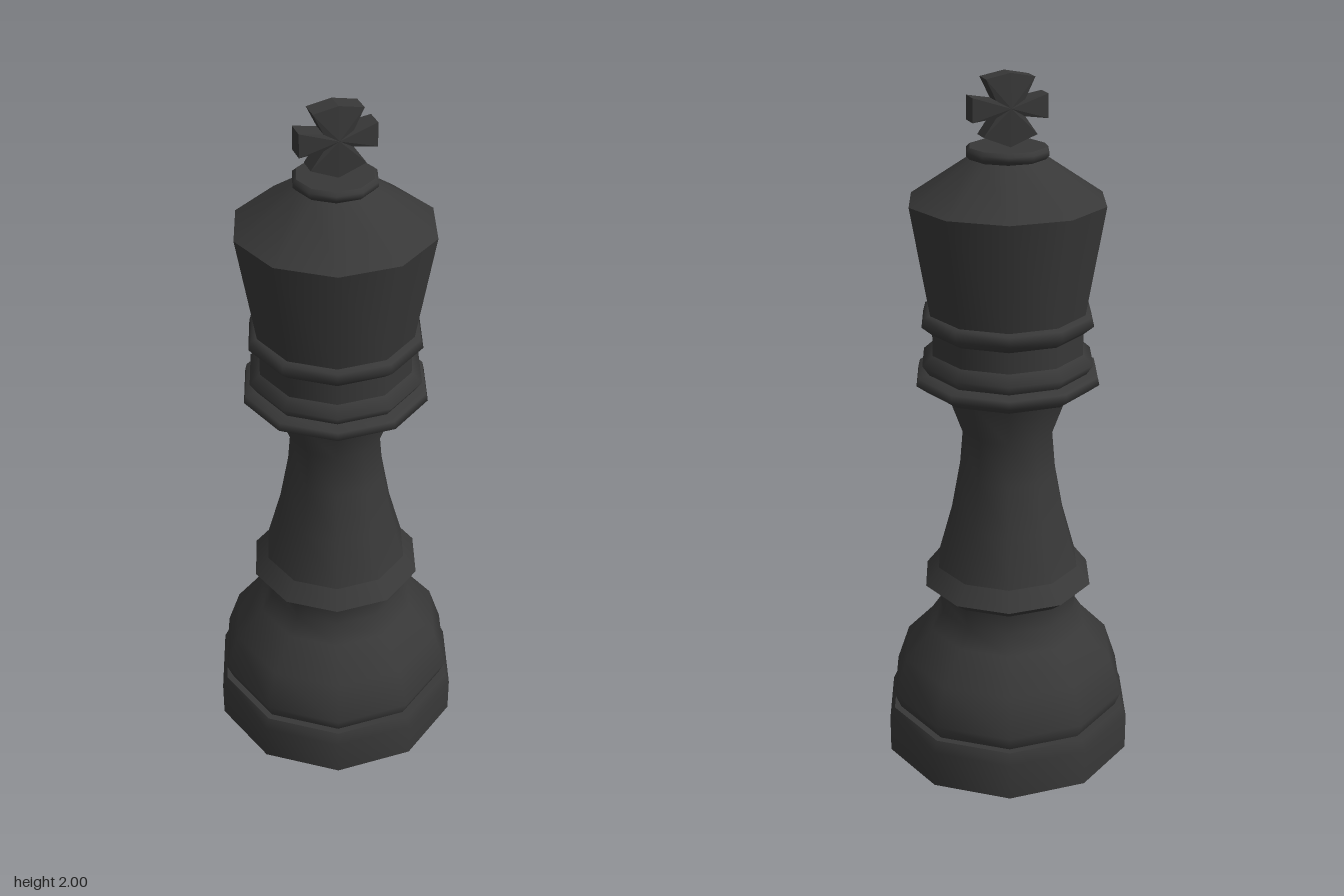
import * as THREE from 'three';

const SIDES = 10;

// Lathe piece with a corner on the x axis, smooth inside each profile run
function turned(name, material, ...runs) {
  const group = new THREE.Group();
  group.name = name;
  runs.forEach((run, i) => {
    const points = run.map(([r, y]) => new THREE.Vector2(r, y));
    const mesh = new THREE.Mesh(new THREE.LatheGeometry(points, SIDES, Math.PI / 2), material);
    mesh.name = `${name}Surface${i + 1}`;
    group.add(mesh);
  });
  return group;
}

// Flared cross, slightly thicker at its centre
function crossGeometry() {
  const cy = 1.908, edge = 0.027, middle = 0.033;
  const right = [
    [0, 1.806], [0.075, 1.836], [0.04, 1.885], [0.105, 1.876],
    [0.105, 1.941], [0.04, 1.93], [0.068, 1.987], [0, 2],
  ];
  const left = right.slice(1, -1).reverse().map(([x, y]) => [-x, y]);
  const outline = [...right, ...left];
  const pos = [];
  outline.forEach(([ax, ay], i) => {
    const [bx, by] = outline[(i + 1) % outline.length];
    pos.push(0, cy, middle, ax, ay, edge, bx, by, edge);
    pos.push(0, cy, -middle, bx, by, -edge, ax, ay, -edge);
    pos.push(ax, ay, edge, ax, ay, -edge, bx, by, -edge);
    pos.push(ax, ay, edge, bx, by, -edge, bx, by, edge);
  });
  const geometry = new THREE.BufferGeometry();
  geometry.setAttribute('position', new THREE.Float32BufferAttribute(pos, 3));
  geometry.computeVertexNormals();
  return geometry;
}

export function createModel() {
  const model = new THREE.Group();
  model.name = 'chessKing';
  const black = new THREE.MeshStandardMaterial({ color: 0x383838 });
  black.name = 'black';

  model.add(
    turned('base', black,
      [[0, 0], [0.37, 0]],
      [[0.37, 0], [0.37, 0.11], [0.355, 0.143]],
      [[0.355, 0.143], [0.335, 0.143]]),
    turned('foot', black,
      [[0.335, 0.143], [0.353, 0.187], [0.315, 0.3], [0.235, 0.386], [0.2, 0.44], [0.208, 0.503]]),
    turned('lowerRing', black,
      [[0.208, 0.503], [0.25, 0.535]],
      [[0.25, 0.535], [0.21, 0.587]]),
    turned('stem', black,
      [[0.21, 0.587], [0.17, 0.73], [0.143, 0.875], [0.132, 1.0], [0.18, 1.132]]),
    turned('collar', black,
      [[0.18, 1.132], [0.235, 1.135]],
      [[0.235, 1.135], [0.265, 1.157], [0.26, 1.178], [0.228, 1.185]],
      [[0.228, 1.185], [0.247, 1.213], [0.217, 1.24]],
      [[0.217, 1.24], [0.217, 1.3]],
      [[0.217, 1.3], [0.247, 1.325], [0.24, 1.35], [0.222, 1.355]]),
    turned('crown', black,
      [[0.222, 1.355], [0.275, 1.66]],
      [[0.275, 1.66], [0.105, 1.775]]),
    turned('crownCap', black,
      [[0.105, 1.775], [0.115, 1.785], [0.115, 1.797], [0.105, 1.806]],
      [[0.105, 1.806], [0, 1.806]]),
  );

  const cross = new THREE.Mesh(crossGeometry(), black);
  cross.name = 'cross';
  model.add(cross);
  return model;
}
